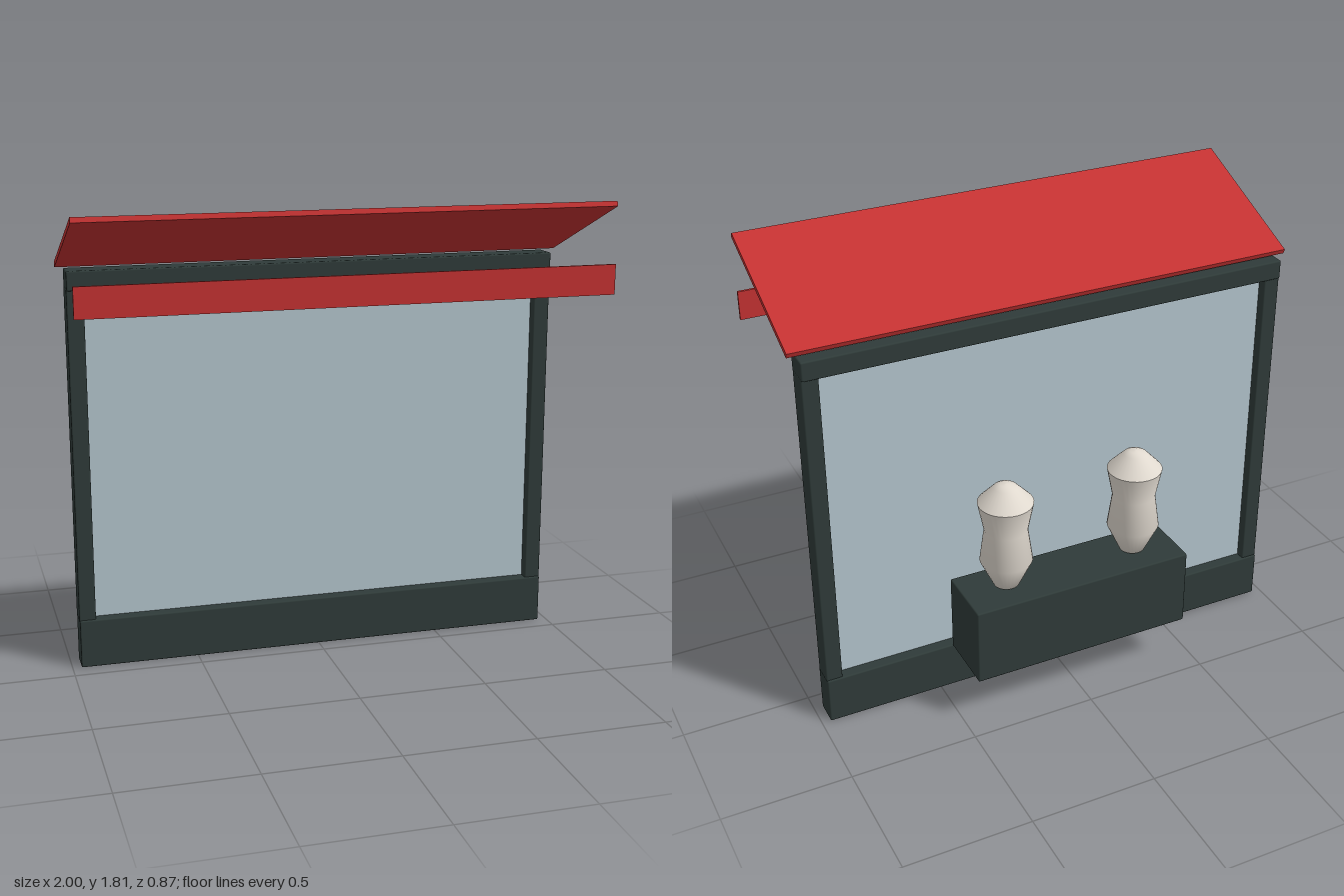
import * as THREE from 'three';
import { RoundedBoxGeometry } from 'three/addons/geometries/RoundedBoxGeometry.js';

const material = (name, color) => {
  const m = new THREE.MeshStandardMaterial({ color });
  m.name = name;
  return m;
};

export function createModel() {
  const model = new THREE.Group();
  model.name = 'shopWindow';

  const frame = material('darkFrame', 0x2f3b39);
  const red = material('awningRed', 0xc43232);
  const glass = material('paleGlass', 0xb4c5cd);
  const cream = material('creamCeramic', 0xe0d9cf);
  cream.side = THREE.DoubleSide;

  const add = (name, geometry, mat, x, y, z, parent = model) => {
    const mesh = new THREE.Mesh(geometry, mat);
    mesh.name = name;
    mesh.position.set(x, y, z);
    parent.add(mesh);
    return mesh;
  };
  const beam = (w, h, d) => new RoundedBoxGeometry(w, h, d, 2, 0.006);

  // Window frame: base panel, top rail and two posts around the pane
  const zWall = -0.122;
  add('basePanel', beam(1.93, 0.193, 0.1), frame, 0, 0.0965, zWall);
  add('topRail', beam(1.93, 0.075, 0.1), frame, 0, 1.525, zWall);
  for (const [side, s] of [['left', 1], ['right', -1]]) {
    add(side + 'Post', beam(0.065, 1.31, 0.086), frame, s * 0.934, 0.842, zWall);
  }
  add('windowPane', new THREE.BoxGeometry(1.82, 1.31, 0.012), glass, 0, 0.842, zWall);

  // Awning rising towards the front, with a hanging valance below its edge
  const awning = add('awning', new THREE.BoxGeometry(2, 0.02, 0.607), red, 0, 1.693, 0.146);
  awning.rotation.x = -0.38;
  add('valance', new THREE.BoxGeometry(2, 0.113, 0.01), red, 0, 1.526, 0.43);

  // Display plinth behind the pane
  add('displayPlinth', beam(0.9, 0.318, 0.255), frame, 0, 0.358, -0.306);

  // Waisted display forms with a crisp shoulder edge
  const profile = (pts) =>
    new THREE.LatheGeometry(pts.map(([r, y]) => new THREE.Vector2(r, y)), 32);
  const body = profile([
    [0, 0.52], [0.05, 0.53], [0.101, 0.64], [0.083, 0.775], [0.106, 0.893],
  ]);
  const cap = profile([[0.106, 0.893], [0.045, 0.958], [0.02, 0.968], [0, 0.97]]);
  for (const [side, s] of [['left', 1], ['right', -1]]) {
    const form = new THREE.Group();
    form.name = side + 'DisplayForm';
    form.position.set(s * 0.272, 0, -0.306);
    add('formBody', body, cream, 0, 0, 0, form);
    add('formCap', cap, cream, 0, 0, 0, form);
    model.add(form);
  }

  return model;
}
